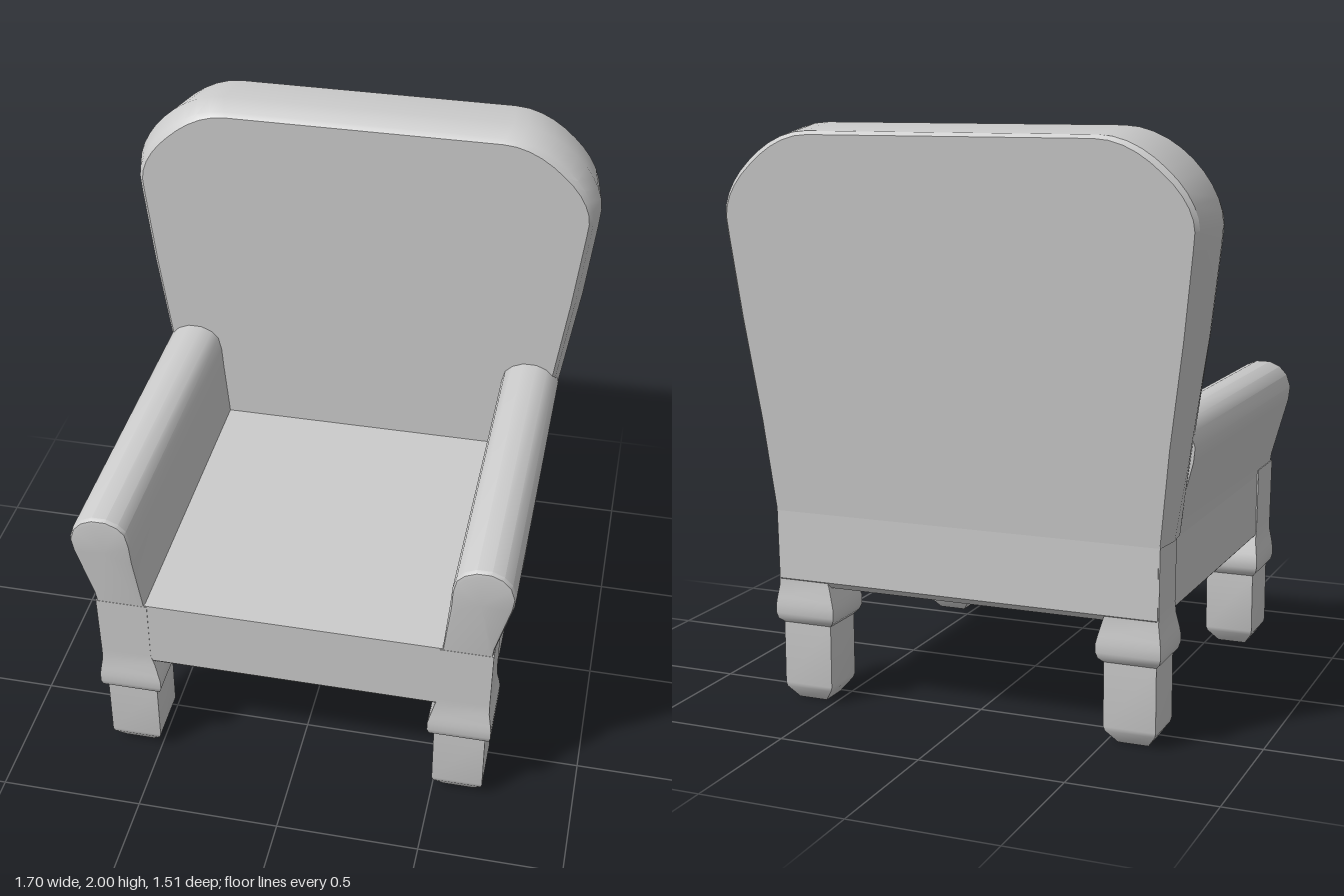
import * as THREE from 'three';
import { toCreasedNormals } from 'three/addons/utils/BufferGeometryUtils.js';

const material = new THREE.MeshStandardMaterial({ color: 0xcccccc });

// Skin a row of rings (counter-clockwise about the travel axis) and cap both ends
function loft(name, rings) {
  const n = rings[0].length, pos = [], idx = [];
  rings.forEach(r => r.forEach(p => pos.push(...p)));
  for (let i = 0; i < rings.length - 1; i++) {
    for (let j = 0; j < n; j++) {
      const a = i * n + j, b = i * n + (j + 1) % n;
      idx.push(a, b, b + n, a, b + n, a + n);
    }
  }
  [0, rings.length - 1].forEach((r, end) => {
    const c = pos.length / 3;
    pos.push(...[0, 1, 2].map(k => rings[r].reduce((s, p) => s + p[k], 0) / n));
    for (let j = 0; j < n; j++) {
      const a = r * n + j, b = r * n + (j + 1) % n;
      if (end) idx.push(c, a, b); else idx.push(c, b, a);
    }
  });
  const geo = new THREE.BufferGeometry();
  geo.setAttribute('position', new THREE.Float32BufferAttribute(pos, 3));
  geo.setIndex(idx);
  const mesh = new THREE.Mesh(toCreasedNormals(geo, 0.55), material);
  mesh.name = name;
  return mesh;
}

// Horizontal rectangle ring at height y
const rect = (x0, x1, z0, z1, y) => [[x0, y, z1], [x1, y, z1], [x1, y, z0], [x0, y, z0]];

const clamp01 = v => THREE.MathUtils.clamp(v, 0, 1);

// Pull an outline toward a centre by a fixed distance
function inset(points, cx, cy, d) {
  return points.map(([x, y]) => {
    const v = new THREE.Vector2(x - cx, y - cy), l = v.length();
    v.multiplyScalar((l - d) / l);
    return [cx + v.x, cy + v.y];
  });
}

// Padded back: straight front, raked rear, widest just behind the front
function backrest() {
  const half = [[0.705, 0.68], [0.757, 1.0], [0.81, 1.35], [0.842, 1.63]];
  const corner = new THREE.CubicBezierCurve(
    new THREE.Vector2(0.848, 1.7), new THREE.Vector2(0.848, 1.83),
    new THREE.Vector2(0.69, 2.0), new THREE.Vector2(0.52, 2.0));
  corner.getPoints(10).forEach(p => half.push([p.x, p.y]));
  const outline = [...half, ...half.map(([x, y]) => [-x, y]).reverse()];
  const ring = (d, zAt) => outline.map(([x, y]) => {
    const k = clamp01((y - 0.68) / 0.4);
    const px = x - Math.sign(x) * d * (0.4 + 0.6 * k) * Math.min(1, Math.abs(x) / 0.7);
    const py = y - d * clamp01((y - 1.6) / 0.3);
    return [px, py, zAt(py)];
  });
  const rear = y => -0.66 - 0.096 * (y - 0.68) / 1.3;
  return loft('backrest', [
    ring(0.036, rear),
    ring(0.024, y => rear(y) + 0.015),
    ring(0, () => -0.55),
    ring(0.02, () => -0.47),
    ring(0.034, () => -0.453),
  ]);
}

// Arm with a rounded top, leaning outward, with a beveled front panel
function arm(side) {
  const outline = [[0.515, 0.66], [0.685, 0.66], [0.693, 0.72], [0.748, 0.93], [0.753, 0.98],
    [0.738, 1.025], [0.71, 1.055], [0.67, 1.072], [0.62, 1.072], [0.58, 1.055],
    [0.555, 1.03], [0.543, 0.98], [0.537, 0.9]];
  const ring = (d, zAt) => {
    const r = inset(outline, 0.63, 0.87, d).map(([x, y]) => [x * side, y, zAt(y)]);
    return side < 0 ? r.reverse() : r;
  };
  const front = y => 0.727 + 0.03 * clamp01((y - 0.68) / 0.3);
  return loft(side > 0 ? 'leftArm' : 'rightArm', [
    ring(0, () => -0.5),
    ring(0, y => front(y) - 0.015),
    ring(0.007, y => front(y) - 0.002),
    ring(0.02, front),
  ]);
}

// Square leg: tapered foot, swollen knee, post running up the seat corner
function leg(side, isFront) {
  const x0 = 0.5, x1 = 0.68, z0 = isFront ? 0.52 : -0.648, z1 = isFront ? 0.717 : -0.475;
  // height, growth on inner faces, growth on outer faces
  const profile = [[0, -0.04, -0.035], [0.045, -0.005, -0.003], [0.06, 0, 0], [0.28, 0, 0],
    [0.295, 0.015, 0.015], [0.315, 0.022, 0.02], [0.345, 0.022, 0.02], [0.37, 0.016, 0.017],
    [0.42, 0.002, 0.009], [0.46, -0.01, 0.009], [0.69, -0.01, 0.012]];
  return loft((isFront ? 'front' : 'rear') + (side > 0 ? 'LeftLeg' : 'RightLeg'),
    profile.map(([y, inner, outer]) => {
      const xa = side * (x0 - inner), xb = side * (x1 + outer);
      const za = z0 - (isFront ? inner : outer), zb = z1 + (isFront ? outer : inner);
      return rect(Math.min(xa, xb), Math.max(xa, xb), za, zb, y);
    }));
}

export function createModel() {
  const chair = new THREE.Group();
  chair.name = 'armchair';

  // Seat block with a small bevel under its edge
  chair.add(loft('seat', [
    rect(-0.665, 0.665, -0.64, 0.705, 0.418),
    rect(-0.686, 0.686, -0.66, 0.725, 0.44),
    rect(-0.686, 0.686, -0.66, 0.727, 0.694),
  ]));
  chair.add(backrest());

  for (const side of [1, -1]) {
    chair.add(arm(side));
    for (const isFront of [true, false]) chair.add(leg(side, isFront));
  }
  return chair;
}
